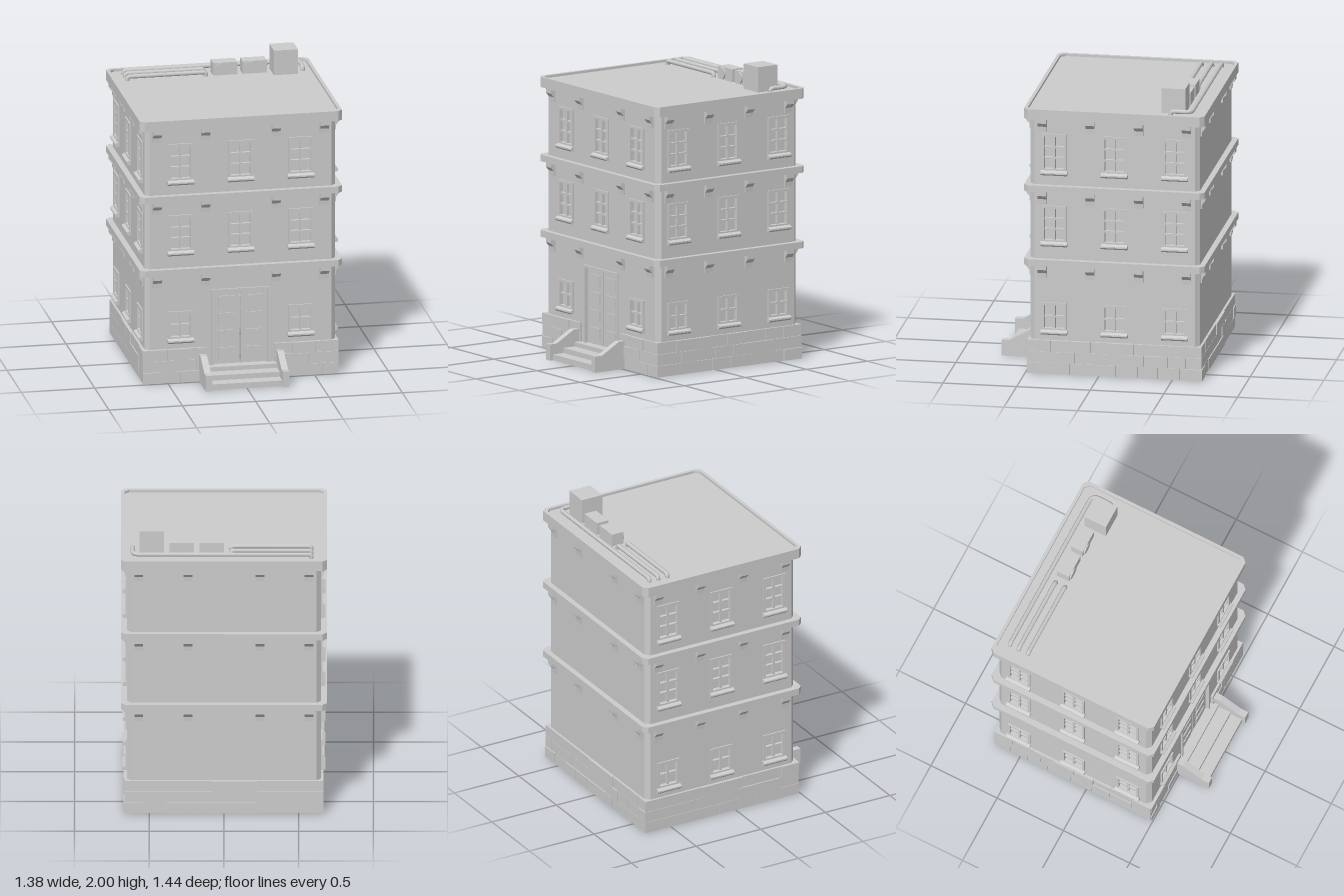
import * as THREE from 'three';

const flat = new THREE.MeshStandardMaterial({ color: 0xcccccc, flatShading: true, side: THREE.DoubleSide });
const smooth = new THREE.MeshStandardMaterial({ color: 0xcccccc, side: THREE.DoubleSide });
const CZ = -0.105;              // centre of the house along z
const HW = 0.65, HD = 0.575;    // half width and half depth of the walls
const CH = 0.03;                // corner chamfer
const T = 0.03;                 // wall thickness

let seed = 7;
const rand = () => (seed = (seed * 16807) % 2147483647) / 2147483647;

function add(parent, name, geo, mat = flat) {
  const m = new THREE.Mesh(geo, mat);
  m.name = name;
  parent.add(m);
  return m;
}

// Box given by its limits
function box(parent, name, x0, x1, y0, y1, z0, z1) {
  const m = add(parent, name, new THREE.BoxGeometry(x1 - x0, y1 - y0, z1 - z0));
  m.position.set((x0 + x1) / 2, (y0 + y1) / 2, (z0 + z1) / 2);
  return m;
}

const poly = (pts) => new THREE.Shape(pts.map(([x, y]) => new THREE.Vector2(x, y)));
const rect = (x0, x1, y0, y1) => poly([[x0, y0], [x1, y0], [x1, y1], [x0, y1]]);
const extrude = (shape, depth) => new THREE.ExtrudeGeometry(shape, { depth, bevelEnabled: false });

// Rectangle with cut corners
const cutRect = (w, d, c) => poly([[-w + c, -d], [w - c, -d], [w, -d + c], [w, d - c],
  [w - c, d], [-w + c, d], [-w, d - c], [-w, -d + c]]);

// Horizontal slab from a plan shape
function slab(parent, name, shape, y0, y1) {
  const geo = extrude(shape, y1 - y0).rotateX(-Math.PI / 2);
  add(parent, name, geo).position.set(0, y0, CZ);
}

// Upright panel with rectangular holes
function panel(parent, name, outer, holes, z0, z1) {
  const s = rect(...outer);
  holes.forEach((h) => s.holes.push(rect(...h)));
  add(parent, name, extrude(s, z1 - z0)).position.z = z0;
}

// Window with frame, glazing bars, glass and sill; wall face lies at z = d
function makeWindow(parent, cx, y0, y1, rows, d) {
  const g = new THREE.Group();
  g.name = 'window';
  g.position.set(cx, 0, d);
  const b = y0 + 0.025, w = 0.085, f = 0.018;
  panel(g, 'windowFrame', [-w, w, b, y1], [[-w + f, w - f, b + f, y1 - f]], -T, 0.01);
  box(g, 'glass', -w + f, w - f, b + f, y1 - f, -T, -0.02);
  box(g, 'glazingBar', -0.007, 0.007, b + f, y1 - f, -0.02, 0.002);
  for (let i = 1; i < rows; i++) {
    const y = b + f + (y1 - b - 2 * f) * i / rows;
    box(g, 'glazingBar', -w + f, w - f, y - 0.006, y + 0.006, -0.02, 0.002);
  }
  const sill = add(g, 'windowSill', extrude(poly([[0, 0], [0.022, 0], [0.03, 0.01], [0.03, 0.02], [0.01, 0.032], [0, 0.032]]), 0.18));
  sill.rotation.y = -Math.PI / 2;
  sill.position.set(0.09, y0, 0);
  g.children.at(-1).geometry.translate(0, 0, 0);
  parent.add(g);
}

// Stepped bracket below a cornice
function makeBracket(parent, x, top, d) {
  const geo = extrude(poly([[-0.01, 0], [0.035, 0], [0.035, -0.028], [0.012, -0.055], [0.01, -0.088], [-0.01, -0.088]]), 0.06);
  geo.translate(0, 0, -0.03).rotateY(-Math.PI / 2);
  add(parent, 'corniceBracket', geo).position.set(x, top, d);
}

// Courses of slightly uneven blocks between two ends
function bricks(parent, u0, u1, d) {
  const h = 0.235 / 3;
  for (let row = 0; row < 3; row++) {
    let u = u0, first = true;
    while (u < u1 - 0.001) {
      let len = first && row % 2 ? 0.075 : 0.12 + rand() * 0.05;
      if (u1 - u - len < 0.06) len = u1 - u;
      const out = d + 0.016 + (rand() > 0.75 ? 0.006 : 0);
      const inner = d - 0.04 - rand() * 0.06;
      box(parent, 'foundationBlock', u + 0.001, u + len - 0.001, row * h + 0.001, (row + 1) * h - 0.001, inner, out);
      u += len;
      first = false;
    }
  }
}

const FLOORS = [
  { y0: 0, y1: 0.755, win: [0.275, 0.495], rows: 2 },
  { y0: 0.8, y1: 1.27, win: [0.89, 1.17], rows: 3 },
  { y0: 1.315, y1: 1.775, win: [1.385, 1.67], rows: 3 },
];

// One side of the house, modelled facing +z
function makeSide(name, angle, w, d, bracketXs, hasWindows, hasDoor) {
  const g = new THREE.Group();
  g.name = name;
  g.position.z = CZ;
  g.rotation.y = angle;
  FLOORS.forEach((fl, i) => {
    const door = hasDoor && i === 0;
    const xs = !hasWindows ? [] : door ? [-0.41, 0.41] : [-0.41, 0, 0.41];
    const holes = xs.map((x) => [x - 0.08, x + 0.08, fl.win[0] + 0.03, fl.win[1] - 0.005]);
    if (door) holes.push([-0.187, 0.187, 0.1, 0.625]);
    panel(g, 'wall', [-w + CH, w - CH, fl.y0, fl.y1], holes, d - T, d);
    xs.forEach((x) => makeWindow(g, x, fl.win[0], fl.win[1], fl.rows, d));
    bracketXs.forEach((x) => makeBracket(g, x, fl.y1, d));
  });
  if (hasDoor) {
    bricks(g, -w - 0.016, -0.23, d);
    bricks(g, 0.23, w + 0.016, d);
  } else bricks(g, -w - 0.016, w + 0.016, d);
  return g;
}

// Double door with raised panels
function makeDoor() {
  const g = new THREE.Group();
  g.name = 'door';
  g.position.z = CZ + HD;
  panel(g, 'doorFrame', [-0.197, 0.197, 0.1, 0.635], [[-0.183, 0.183, 0.1, 0.62]], -T, 0.012);
  for (const s of [-1, 1]) {
    box(g, 'doorLeaf', s * 0.094 - 0.089, s * 0.094 + 0.089, 0.105, 0.62, -T, -0.015);
    for (let i = 0; i < 4; i++) {
      const y = 0.14 + i * 0.12;
      box(g, 'doorPanel', s * 0.094 - 0.055, s * 0.094 + 0.055, y, y + 0.08, -0.016, -0.007);
    }
  }
  return g;
}

// Entrance steps between two sloped side walls
function makeSteps() {
  const g = new THREE.Group();
  g.name = 'entranceSteps';
  [[0.7, 0.04], [0.615, 0.075], [0.525, 0.105]].forEach(([z, y]) => box(g, 'step', -0.24, 0.24, y - 0.04, y, 0.43, z));
  const side = poly([[0.46, 0], [0.725, 0], [0.725, 0.11], [0.67, 0.11], [0.53, 0.19], [0.46, 0.19]]);
  for (const x of [-0.24, 0.285]) {
    const m = add(g, 'stepSideWall', extrude(side, 0.045));
    m.rotation.y = -Math.PI / 2;
    m.position.x = x;
  }
  return g;
}

// Pipe through points with rounded bends
function makePipe(parent, pts) {
  const v = pts.map((p) => new THREE.Vector3(...p));
  const path = new THREE.CurvePath();
  let prev = v[0];
  for (let i = 1; i < v.length - 1; i++) {
    const r = Math.min(0.05, v[i].distanceTo(v[i - 1]) * 0.6, v[i].distanceTo(v[i + 1]) * 0.6);
    const a = v[i].clone().add(v[i - 1].clone().sub(v[i]).setLength(r));
    const b = v[i].clone().add(v[i + 1].clone().sub(v[i]).setLength(r));
    path.add(new THREE.LineCurve3(prev, a));
    path.add(new THREE.QuadraticBezierCurve3(a, v[i], b));
    prev = b;
  }
  path.add(new THREE.LineCurve3(prev, v.at(-1)));
  add(parent, 'roofPipe', new THREE.TubeGeometry(path, 160, 0.015, 8), smooth);
}

export function createModel() {
  const model = new THREE.Group();
  model.name = 'townHouse';

  // Four sides and chamfered corner posts
  const fx = [-0.57, -0.24, 0.24, 0.57], sx = [-0.49, -0.165, 0.165, 0.49];
  model.add(makeSide('frontSide', 0, HW, HD, fx, true, true));
  model.add(makeSide('leftSide', Math.PI / 2, HD, HW, sx, true, false));
  model.add(makeSide('backSide', Math.PI, HW, HD, fx, false, false));
  model.add(makeSide('rightSide', -Math.PI / 2, HD, HW, sx, true, false));
  for (const a of [-1, 1]) for (const b of [-1, 1]) {
    const pts = [[HW - CH, HD], [HW, HD - CH], [HW - T, HD - CH], [HW - CH, HD - T]];
    slab(model, 'cornerPost', poly(pts.map(([x, y]) => [a * x, b * y])), 0, 1.775);
  }

  // Cornices and roof with a low rim
  const outline = () => cutRect(0.69, 0.613, 0.03);
  slab(model, 'cornice', outline(), 0.755, 0.8);
  slab(model, 'cornice', outline(), 1.27, 1.315);
  slab(model, 'roof', outline(), 1.775, 1.828);
  const rim = outline();
  rim.holes.push(cutRect(0.667, 0.59, 0.03));
  slab(model, 'roofRim', rim, 1.828, 1.845);

  // Entrance
  model.add(makeDoor(), makeSteps());

  // Rooftop equipment
  const top = new THREE.Group();
  top.name = 'rooftopEquipment';
  box(top, 'chimney', 0.4, 0.565, 1.82, 2, -0.57, -0.41);
  for (const x of [0, 0.2]) {
    box(top, 'airUnit', x, x + 0.165, 1.828, 1.915, -0.57, -0.48);
    const fan = add(top, 'airUnitFan', new THREE.CylinderGeometry(0.04, 0.04, 0.016, 20));
    fan.rotation.x = Math.PI / 2;
    fan.position.set(x + 0.05, 1.872, -0.478);
  }
  for (const z of [-0.553, -0.482]) {
    makePipe(top, [[-0.585, 1.82, z], [-0.585, 1.855, z], [-0.05, 1.855, z], [-0.05, 1.82, z]]);
  }
  makePipe(top, [[-0.585, 1.82, -0.62], [-0.585, 1.855, -0.62], [0.61, 1.855, -0.62], [0.61, 1.855, -0.48], [0.61, 1.82, -0.48]]);
  model.add(top);
  return model;
}
